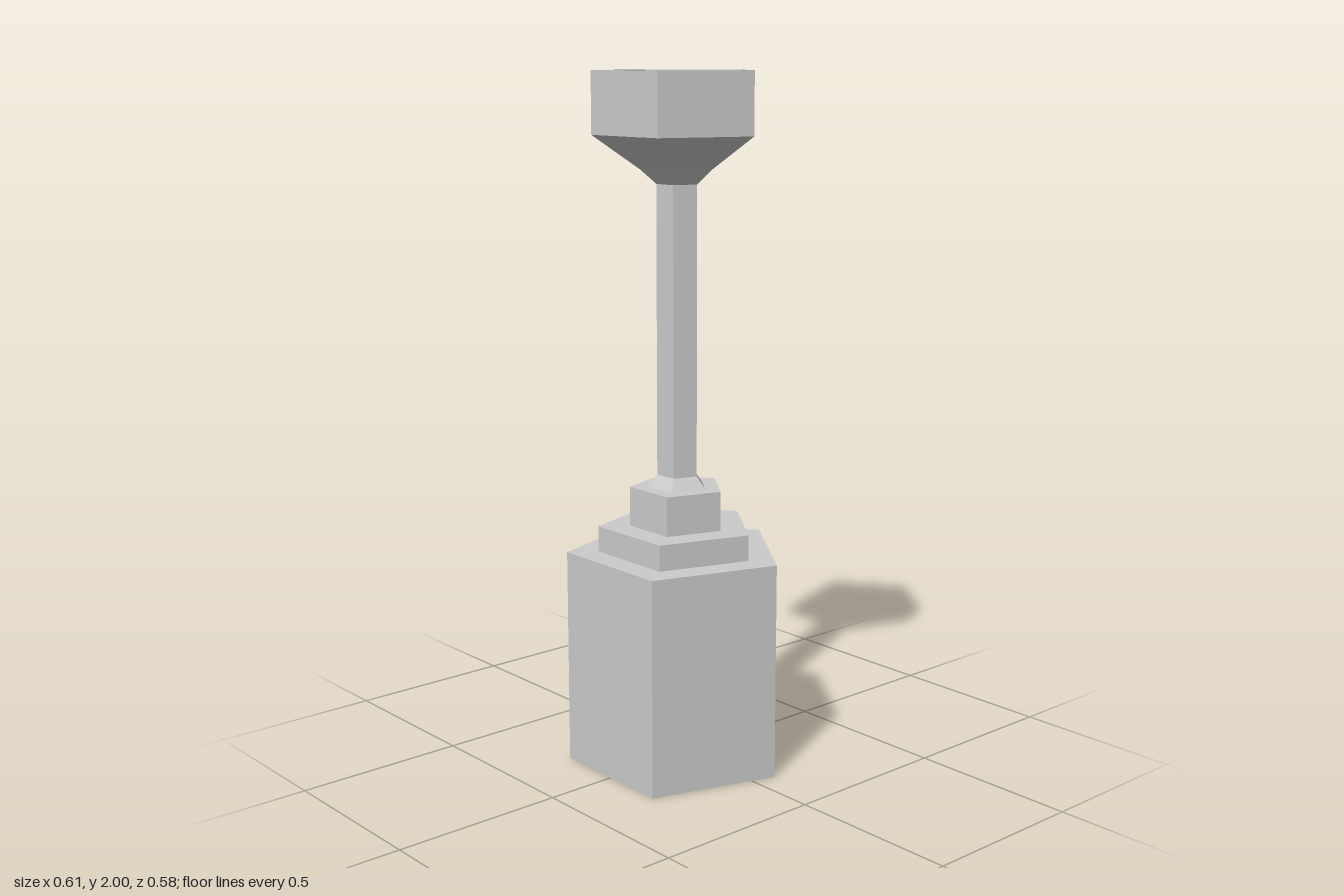
import * as THREE from 'three';

// Five-sided solid of revolution with a corner pointing to the back
function pentagonPart(name, profile, side = THREE.FrontSide) {
  const points = profile.map(([r, y]) => new THREE.Vector2(r, y));
  const geometry = new THREE.LatheGeometry(points, 5, Math.PI);
  const material = new THREE.MeshStandardMaterial({ color: 0xcccccc, flatShading: true, side });
  const mesh = new THREE.Mesh(geometry, material);
  mesh.name = name;
  return mesh;
}

export function createModel() {
  const group = new THREE.Group();
  group.name = 'pedestalBowl';

  // Stepped plinth: radius, bottom, top
  const tiers = [
    ['base', 0.323, 0, 0.635],
    ['lowerStep', 0.232, 0.635, 0.71],
    ['upperStep', 0.14, 0.71, 0.825],
  ];
  for (const [name, r, y0, y1] of tiers) {
    const profile = [[r, y0], [r, y1], [0, y1]];
    if (y0 === 0) profile.unshift([0, 0]);
    group.add(pentagonPart(name, profile));
  }

  // Slender column with a flared foot, closed at the top
  group.add(pentagonPart('column', [[0.09, 0.825], [0.061, 0.86], [0.061, 1.69], [0, 1.69]]));

  // Open thin-walled bowl
  group.add(pentagonPart('bowl', [[0.061, 1.69], [0.106, 1.73], [0.24, 1.825], [0.24, 2]], THREE.DoubleSide));

  // Centre the pentagon's extent in z
  for (const part of group.children) part.position.z = 0.031;
  return group;
}
